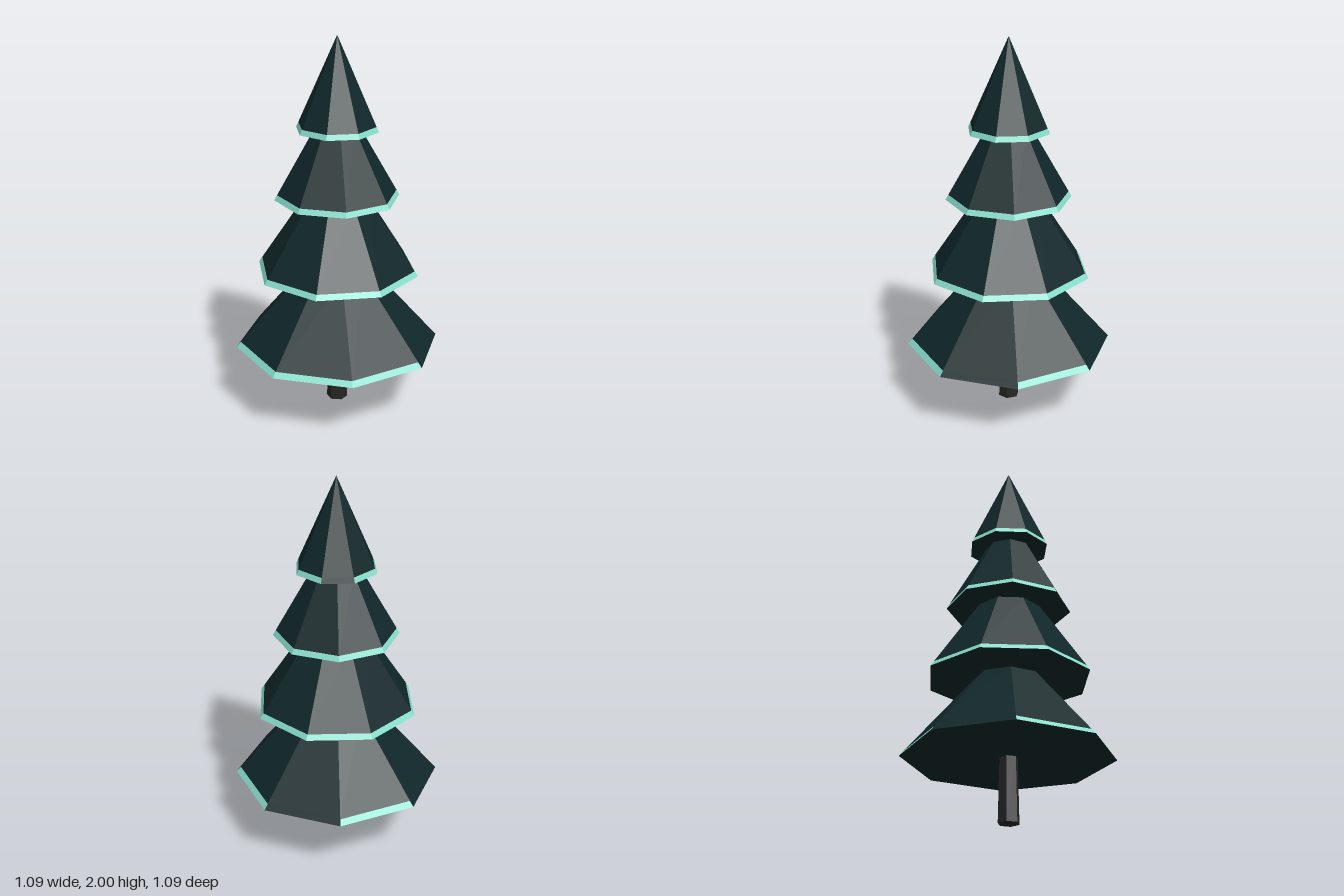
import * as THREE from 'three';

const material = (name, color) => {
  const m = new THREE.MeshStandardMaterial({ color });
  m.name = name;
  return m;
};

// Split the corners so each facet gets its own flat normal
function faceted(geometry) {
  const g = geometry.toNonIndexed();
  g.computeVertexNormals();
  return g;
}

export function createModel() {
  const needles = material('dark needles', 0x102729);
  const frost = material('mint edge', 0x88decc);
  const bark = material('bark', 0x262525);

  const tree = new THREE.Group();
  tree.name = 'pineTree';

  const add = (parent, name, geometry, mat, y) => {
    const mesh = new THREE.Mesh(faceted(geometry), mat);
    mesh.name = name;
    mesh.position.y = y;
    parent.add(mesh);
  };

  // Six-sided tapered trunk
  add(tree, 'trunk', new THREE.CylinderGeometry(0.048, 0.056, 0.34, 6), bark, 0.17);

  // Tiers from the bottom up; radii are to the corners, plain lists edge faces without mint
  const k = 1 / Math.cos(Math.PI / 8);
  const tiers = [
    { y: 0.335, top: 0.76, r: 0.545, rTop: 0.175, turn: 0, plain: [2, 4, 6] },
    { y: 0.755, top: 1.16, r: 0.4 * k, rTop: 0.153 * k, turn: Math.PI / 8, plain: [] },
    { y: 1.155, top: 1.525, r: 0.327, rTop: 0.118, turn: 0, plain: [] },
    { y: 1.518, top: 2, r: 0.2 * k, rTop: 0, turn: Math.PI / 8, plain: [4] },
  ];
  const edge = 0.027;

  tiers.forEach(({ y, top, r, rTop, turn, plain }, n) => {
    const tier = new THREE.Group();
    tier.name = `branchTier${n + 1}`;
    tree.add(tier);

    // Sloping branches above the edge
    const rEdge = r + (rTop - r) * edge / (top - y);
    const h = top - y - edge;
    add(tier, 'branches', new THREE.CylinderGeometry(rTop, rEdge, h, 8, 1, true, turn),
      needles, y + edge + h / 2);

    // Coloured lower edge, one material group for each of the eight faces
    const band = new THREE.CylinderGeometry(rEdge, r, edge, 8, 1, true, turn);
    band.clearGroups();
    for (let i = 0; i < 8; i++) band.addGroup(i * 6, 6, plain.includes(i) ? 1 : 0);
    add(tier, 'edge', band, [frost, needles], y + edge / 2);

    // Flat underside
    add(tier, 'underside', new THREE.CircleGeometry(r, 8, turn).rotateX(Math.PI / 2), needles, y);
  });

  return tree;
}
